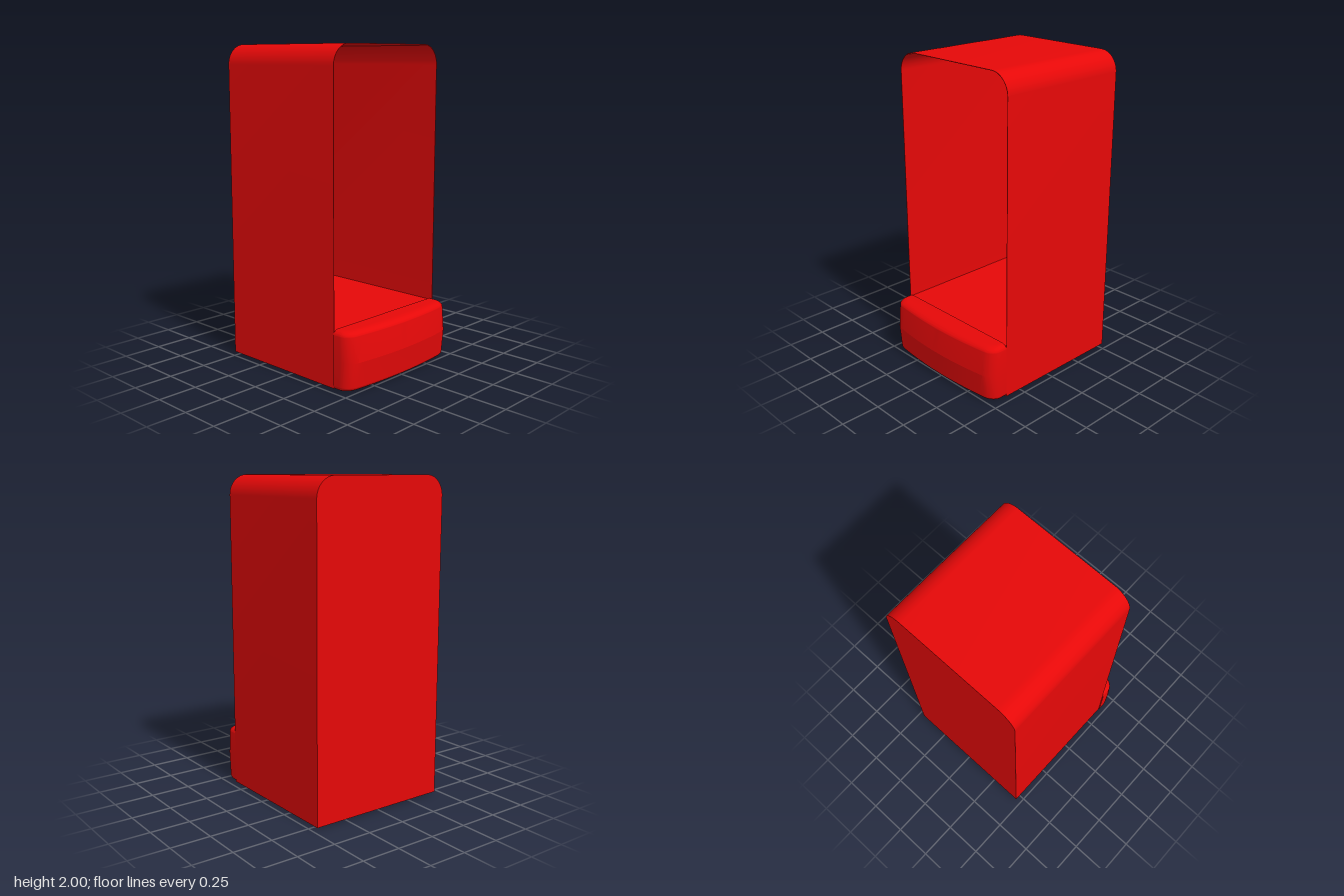
import * as THREE from 'three';
import { toCreasedNormals } from 'three/addons/utils/BufferGeometryUtils.js';

const HALF = 0.463, FLOOR = 0.35, TOP = 2, RADIUS = 0.125;
const BACK = -0.538, FRONT = 0.372, WALL = 0.003;

// Upright arch outline with rounded top corners, inset by t
function archPoints(t) {
  const pts = [new THREE.Vector2(HALF - t, FLOOR)];
  const r = RADIUS - t, cx = HALF - RADIUS, cy = TOP - RADIUS;
  for (const side of [1, -1]) {
    for (let i = 0; i <= 16; i++) {
      const a = (i / 16 + (side < 0 ? 1 : 0)) * Math.PI / 2;
      pts.push(new THREE.Vector2(side * cx + r * Math.cos(a), cy + r * Math.sin(a)));
    }
  }
  pts.push(new THREE.Vector2(-HALF + t, FLOOR));
  return pts;
}

function extrude(points, depth) {
  const geo = new THREE.ExtrudeGeometry(new THREE.Shape(points), { depth, bevelEnabled: false });
  return toCreasedNormals(geo, 0.4);
}

// Plan outline of the bowed front: rounded corners joined by a gentle curve
function bowOutline() {
  const half = 0.466, r = 0.085, edge = 0.138, bow = 0.03;
  const pts = [[half, 0]];
  for (let i = 0; i <= 14; i++) {
    const a = i / 14 * 1.38;
    pts.push([half - r + r * Math.cos(a), edge - r + r * Math.sin(a)]);
  }
  const [x0, z0] = pts[pts.length - 1];
  for (let i = 1; i < 20; i++) {
    const u = 1 - i / 10;
    pts.push([x0 * u, z0 + bow * (1 - u * u)]);
  }
  return [...pts, ...pts.slice(0, 15 + 1).reverse().map(([x, z]) => [-x, z])];
}

// Stacked, scaled outlines: rounded rims and a shallow ridge at mid height
function drawerGeometry() {
  const low = 0, high = 0.368, rim = 0.034, steps = 24;
  const levels = [];
  for (let i = 0; i <= steps; i++) {
    const a = i / steps * Math.PI / 2, c = 1 - Math.sin(a);
    levels.push([low + rim * (1 - Math.cos(a)), 1 - 0.09 * c, 0.89 - 0.4 * c]);
  }
  const upper = levels.map(([y, sx, sz]) => [high + low - y, sx, sz]).reverse();
  levels.push([(low + high) / 2, 1, 1], ...upper);

  const outline = bowOutline(), n = outline.length;
  const pos = [], index = [];
  for (const [y, sx, sz] of levels) {
    for (const [x, z] of outline) pos.push(x * sx, y, FRONT + z * sz);
  }
  for (let l = 0; l < levels.length - 1; l++) {
    for (let i = 0; i < n; i++) {
      const j = (i + 1) % n;
      const a = l * n + i, b = l * n + j, c = a + n, d = b + n;
      index.push(a, c, b, b, c, d);
    }
  }
  // Bottom and top caps
  const last = (levels.length - 1) * n;
  for (let i = 1; i < n - 1; i++) {
    index.push(0, i, i + 1, last, last + i + 1, last + i);
  }
  const geo = new THREE.BufferGeometry();
  geo.setAttribute('position', new THREE.Float32BufferAttribute(pos, 3));
  geo.setIndex(index);
  return toCreasedNormals(geo, 0.2);
}

export function createModel() {
  const group = new THREE.Group();
  group.name = 'cabinet';
  const red = new THREE.MeshStandardMaterial({ color: 0xe60808, side: THREE.DoubleSide });
  const add = (name, geo, x = 0, y = 0, z = 0) => {
    const mesh = new THREE.Mesh(geo, red);
    mesh.name = name;
    mesh.position.set(x, y, z);
    group.add(mesh);
  };

  // Thin hood: sides and rounded top, open at the front
  const band = [...archPoints(0), ...archPoints(WALL).reverse()];
  add('hood', extrude(band, FRONT - BACK), 0, 0, BACK);
  add('backPanel', extrude(archPoints(0), WALL), 0, 0, BACK);

  // Closed base whose top is the compartment floor
  const baseBottom = 0.008;
  add('base', new THREE.BoxGeometry(2 * HALF, FLOOR - baseBottom, FRONT - BACK),
    0, (FLOOR + baseBottom) / 2, (FRONT + BACK) / 2);

  // Bowed front with soft edges
  add('drawerFront', drawerGeometry(), -0.003);
  return group;
}
